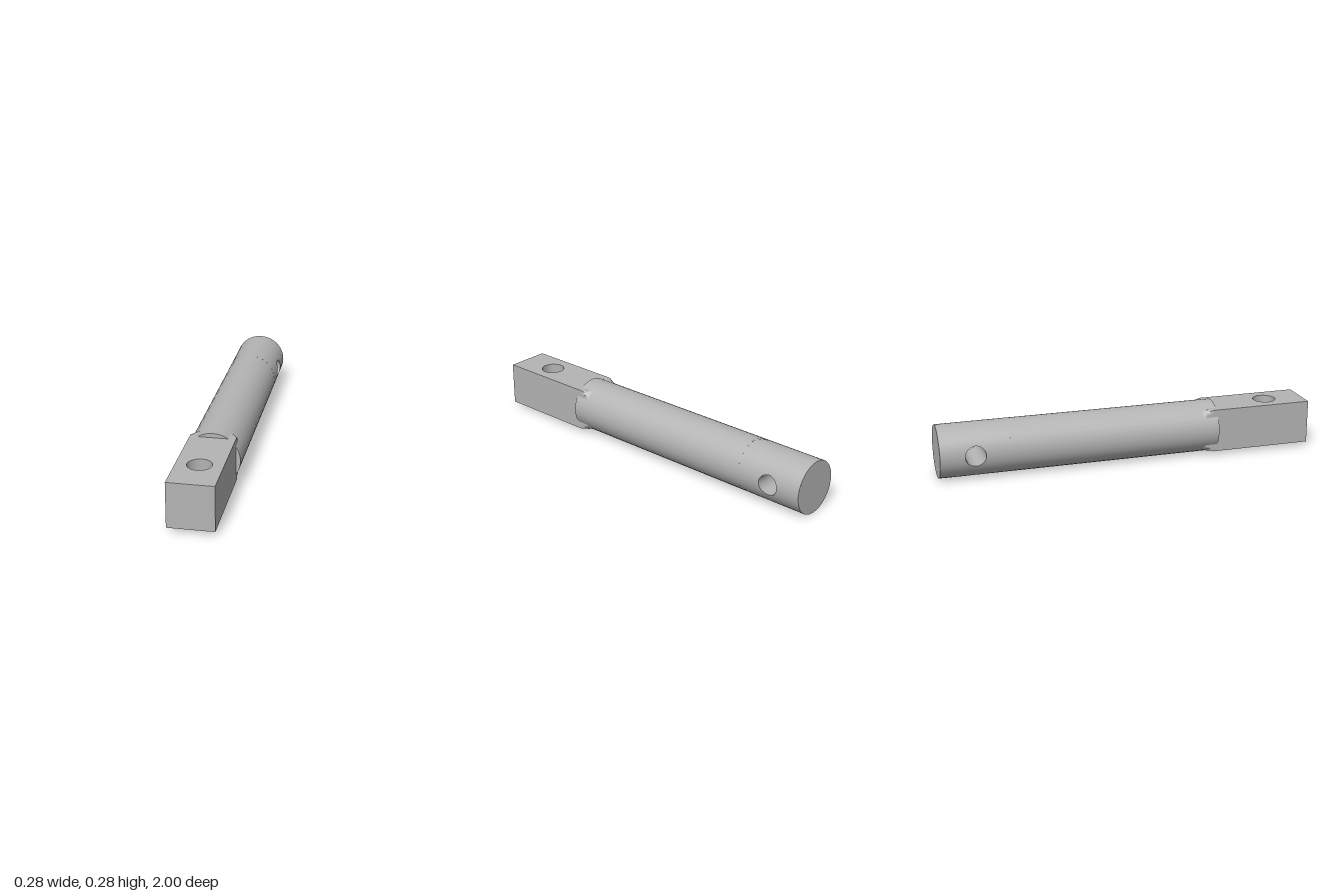
import * as THREE from 'three';
import { toCreasedNormals } from 'three/addons/utils/BufferGeometryUtils.js';
import { ParametricGeometry } from 'three/addons/geometries/ParametricGeometry.js';

const R = 0.138;          // shaft radius, also height of the axis
const HALF = 0.115;       // half width of the square bar
const SHAFT_FRONT = 0.48;
const PIN_Z = -0.82, PIN_R = 0.053, PIN_HALF = 0.18;
const BAR_HOLE_Z = 0.79, BAR_HOLE_R = 0.061;
const NECK_BACK = 0.39, NECK_FRONT = 0.455;

export function createModel() {
  const model = new THREE.Group();
  const steel = new THREE.MeshStandardMaterial({ color: 0xb4b4b4 });
  steel.name = 'steel grey';

  const add = (name, geometry, z = 0) => {
    const mesh = new THREE.Mesh(geometry, steel);
    mesh.name = name;
    mesh.position.set(0, R, z);
    model.add(mesh);
    return mesh;
  };

  // Plain round shaft
  const shaftBack = PIN_Z + PIN_HALF;
  const shaftLength = SHAFT_FRONT - shaftBack;
  add('shaft', new THREE.CylinderGeometry(R, R, shaftLength, 32).rotateX(Math.PI / 2),
    shaftBack + shaftLength / 2);

  // Drilled rear section: each half is a wrapped patch from the hole rim to its border
  const drilledHalf = (u, v, target) => {
    const t = -2 * Math.PI * u;
    const c = Math.cos(t), s = Math.sin(t);
    const m = Math.max(Math.abs(c), Math.abs(s));
    const rim = Math.asin(PIN_R * c / R);
    const angle = THREE.MathUtils.lerp(rim, c / m * Math.PI / 2, v);
    const z = THREE.MathUtils.lerp(PIN_R * s, s / m * PIN_HALF, v);
    target.set(R * Math.cos(angle), R * Math.sin(angle), z);
  };
  for (const side of [0, 1]) {
    const half = add(side ? 'drilledEndRight' : 'drilledEndLeft',
      new ParametricGeometry(drilledHalf, 64, 10), PIN_Z);
    half.rotation.y = side * Math.PI;
  }

  // Wall of the cross hole, trimmed to the round surface
  add('pinHole', new ParametricGeometry((u, v, target) => {
    const y = PIN_R * Math.cos(-2 * Math.PI * u);
    const z = PIN_R * Math.sin(-2 * Math.PI * u);
    target.set((2 * v - 1) * Math.sqrt(R * R - y * y), y, z);
  }, 64, 2), PIN_Z);

  // Flat rear face
  add('rearFace', new THREE.CircleGeometry(R, 32).rotateY(Math.PI), -1);

  // Square bar with a vertical hole
  const outline = new THREE.Shape();
  outline.moveTo(-HALF, -1);
  outline.lineTo(HALF, -1);
  outline.lineTo(HALF, -NECK_FRONT);
  outline.lineTo(-HALF, -NECK_FRONT);
  outline.closePath();
  const hole = new THREE.Path();
  hole.absarc(0, -BAR_HOLE_Z, BAR_HOLE_R, 0, Math.PI * 2, true);
  outline.holes.push(hole);
  const bar = new THREE.ExtrudeGeometry(outline,
    { depth: 2 * HALF, bevelEnabled: false, curveSegments: 24 });
  bar.rotateX(-Math.PI / 2).translate(0, -HALF, 0);
  add('squareBar', toCreasedNormals(bar, 0.6));

  // Neck: the bar's corners are turned down conically into the shaft
  const neck = new ParametricGeometry((u, v, target) => {
    const a = 2 * Math.PI * u;
    const c = Math.cos(a), s = Math.sin(a);
    const cone = THREE.MathUtils.lerp(0.132, HALF * Math.SQRT2, v);
    const r = Math.min(cone, HALF / Math.max(Math.abs(c), Math.abs(s)));
    target.set(r * c, r * s, THREE.MathUtils.lerp(NECK_BACK, NECK_FRONT, v));
  }, 64, 10);
  add('neck', toCreasedNormals(neck, 0.4));

  return model;
}
